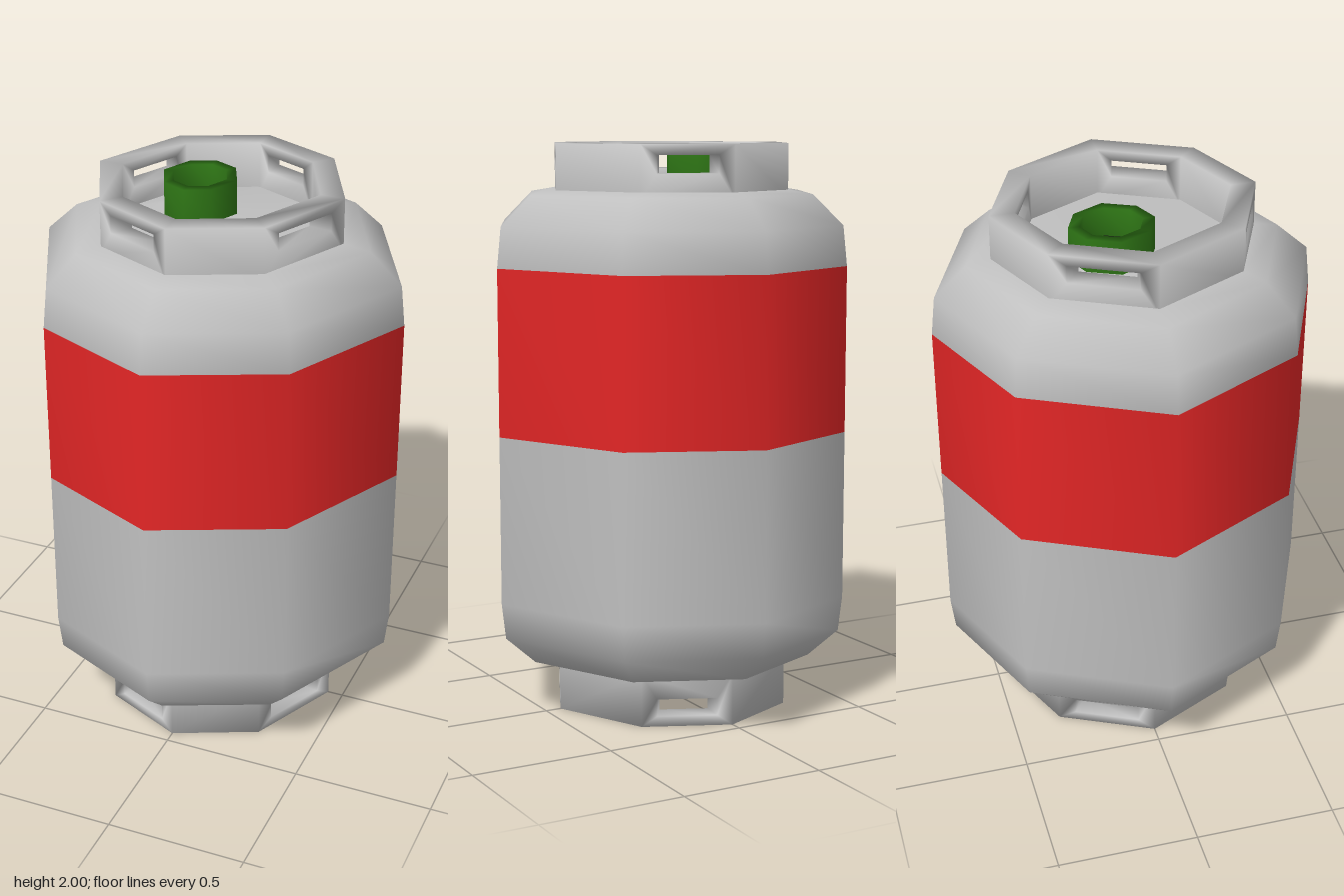
import * as THREE from 'three';

const material = (name, color) => {
  const m = new THREE.MeshStandardMaterial({ color });
  m.name = name;
  return m;
};

// Eight-sided outlines: radius on x, radius on z, diagonal corner x and z
const BODY = [1, 1, 0.657, 0.714];
const COLLAR_OUT = [0.444, 0.456, 0.29, 0.327];
const COLLAR_IN = [0.359, 0.369, 0.235, 0.264];
const VALVE_OUT = [0.135, 0.147, 0.087, 0.108];
const VALVE_IN = [0.099, 0.107, 0.064, 0.079];

function ring([rx, rz, dx, dz], y, s = 1, cx = 0, cz = 0) {
  return [[rx, 0], [dx, dz], [0, rz], [-dx, dz], [-rx, 0], [-dx, -dz], [0, -rz], [dx, -dz]]
    .map(([x, z]) => new THREE.Vector3(cx + x * s, y, cz + z * s));
}

function toGeometry(points, index) {
  const g = new THREE.BufferGeometry().setFromPoints(points);
  g.setIndex(index);
  g.computeVertexNormals();
  return g;
}

const quad = (index, a, b, c, d) => index.push(a, b, c, a, c, d);

// Smooth skin through a list of rings
function loft(rings) {
  const index = [];
  for (let r = 0; r < rings.length - 1; r++) {
    for (let k = 0; k < 8; k++) {
      const n = (k + 1) % 8;
      quad(index, r * 8 + k, r * 8 + 8 + k, r * 8 + 8 + n, r * 8 + n);
    }
  }
  return toGeometry(rings.flat(), index);
}

// Thick octagonal collar with a hand slot through every second side
function collarGeometry(base, rim, slotLow, slotHigh) {
  const points = [ring(COLLAR_OUT, base), ring(COLLAR_OUT, rim),
    ring(COLLAR_IN, rim), ring(COLLAR_IN, base)].flat();
  const index = [];
  const slotCorners = (a, b) => [[0.17, slotLow], [0.17, slotHigh], [0.83, slotHigh], [0.83, slotLow]]
    .map(([t, y]) => {
      const p = points[a].clone().lerp(points[b], t);
      p.y = y;
      return points.push(p) - 1;
    });
  const frame = (outer, hole) => {
    for (let i = 0; i < 4; i++) {
      const j = (i + 1) % 4;
      quad(index, outer[i], outer[j], hole[j], hole[i]);
    }
  };
  for (let k = 0; k < 8; k++) {
    const n = (k + 1) % 8;
    const outside = [k, 8 + k, 8 + n, n];
    const inside = [16 + k, 24 + k, 24 + n, 16 + n];
    quad(index, 8 + k, 16 + k, 16 + n, 8 + n);
    if (k % 2) {
      quad(index, ...outside);
      quad(index, ...inside);
    } else {
      const h = slotCorners(k, n);
      const g = slotCorners(24 + k, 24 + n);
      frame(outside, h);
      frame(inside, [g[1], g[0], g[3], g[2]]);
      frame(h, g);
    }
  }
  return toGeometry(points, index);
}

// Mirror a geometry top to bottom about y = 1
function flipped(geometry) {
  const g = geometry.clone();
  const p = g.attributes.position;
  for (let i = 0; i < p.count; i++) p.setY(i, 2 - p.getY(i));
  g.setIndex(Array.from(g.index.array).reverse());
  g.computeVertexNormals();
  return g;
}

export function createModel() {
  const grey = material('painted grey steel', 0xc0c0c0);
  const red = material('red band', 0xe32626);
  const green = material('green valve', 0x2c7014);
  const black = material('dark opening', 0x111111);

  const model = new THREE.Group();
  model.name = 'gasCylinder';
  const add = (name, geometry, mat) => {
    const mesh = new THREE.Mesh(geometry, mat);
    mesh.name = name;
    model.add(mesh);
  };

  // Tank with rounded shoulders and a red band on its upper half
  const tank = loft([
    ring(BODY, 0.15, 0),
    ring(COLLAR_OUT, 0.165),
    ring(BODY, 0.185, 0.54),
    ring(BODY, 0.285, 0.652),
    ring(BODY, 0.41, 0.667),
    ring(BODY, 1.0, 0.667),
    ring(BODY, 1.58, 0.667),
    ring(BODY, 1.72, 0.652),
    ring(BODY, 1.825, 0.54),
    ring(COLLAR_OUT, 1.84),
  ]);
  const perRing = 48;
  tank.addGroup(0, 5 * perRing, 0);
  tank.addGroup(5 * perRing, perRing, 1);
  tank.addGroup(6 * perRing, 3 * perRing, 0);
  add('tank', tank, [grey, red]);

  // Top guard and matching foot
  const guard = collarGeometry(1.815, 2, 1.903, 1.964);
  add('topGuard', guard, grey);
  add('footRing', flipped(guard), grey);

  // Tank top inside the guard, drawn up to the off-centre valve
  const vx = -0.1, vz = -0.068;
  add('tankTop', loft([ring(COLLAR_IN, 1.835, 1.02), ring(VALVE_OUT, 1.855, 1, vx, vz)]), grey);

  // Hollow valve with a dark bore
  add('valve', loft([
    ring(VALVE_OUT, 1.84, 1, vx, vz),
    ring(VALVE_OUT, 1.975, 1, vx, vz),
    ring(VALVE_IN, 1.975, 1, vx, vz),
    ring(VALVE_IN, 1.87, 1, vx, vz),
  ]), green);
  add('valveBore', loft([ring(VALVE_IN, 1.872, 1, vx, vz), ring(VALVE_IN, 1.872, 0, vx, vz)]), black);

  return model;
}
